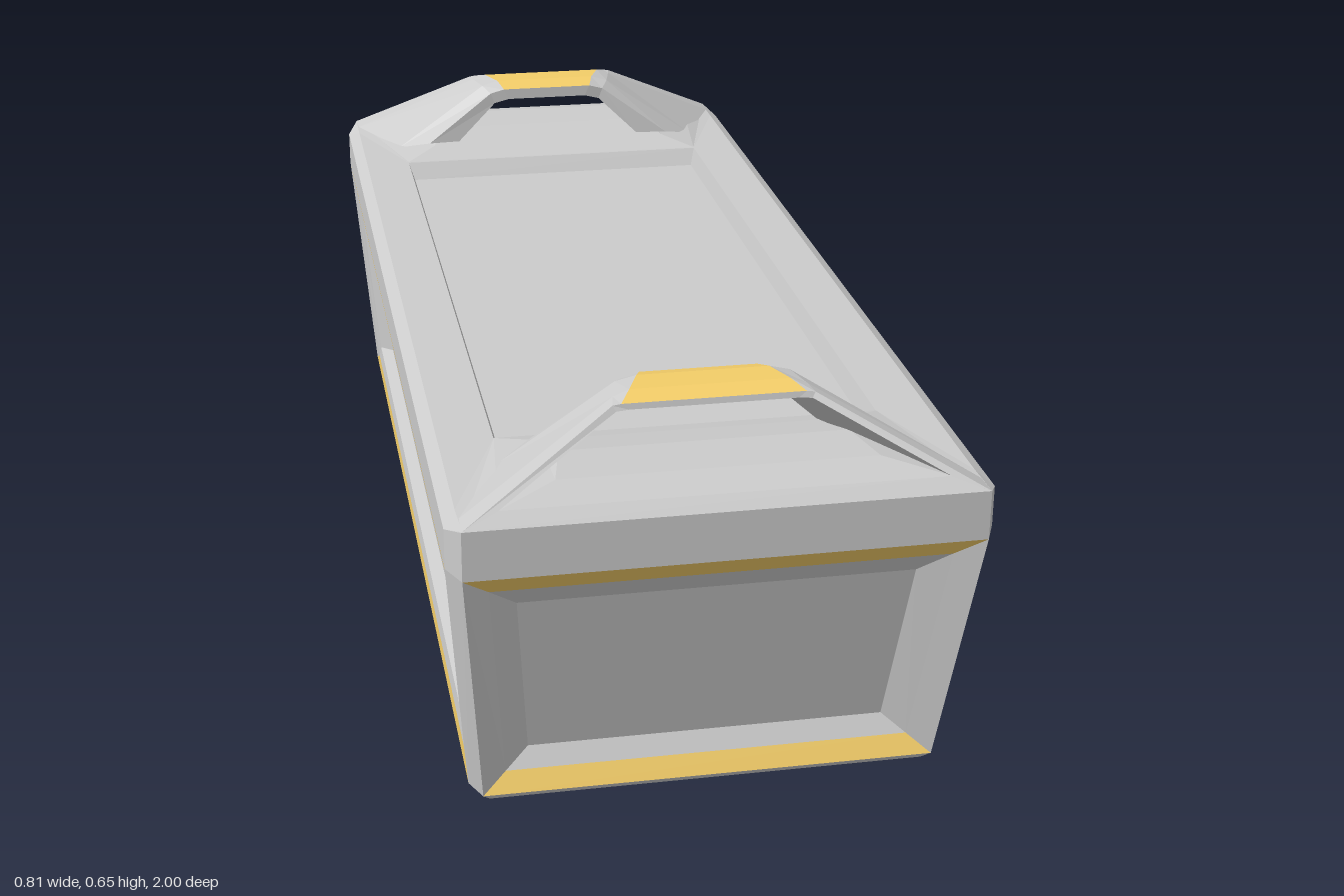
import * as THREE from 'three';

const grey = new THREE.MeshStandardMaterial({ color: 0xcccccc, flatShading: true });
const gold = new THREE.MeshStandardMaterial({ color: 0xf3cd68, flatShading: true });

// Faceted mesh from a list of convex polygons (corners counter-clockwise)
function facets(name, polys, material) {
  const pos = [];
  for (const p of polys)
    for (let i = 1; i < p.length - 1; i++) pos.push(...p[0], ...p[i], ...p[i + 1]);
  const g = new THREE.BufferGeometry();
  g.setAttribute('position', new THREE.Float32BufferAttribute(pos, 3));
  g.computeVertexNormals();
  const mesh = new THREE.Mesh(g, material);
  mesh.name = name;
  return mesh;
}

// Quads joining two closed rings
const band = (a, b) => a.map((p, i) => {
  const k = (i + 1) % a.length;
  return [p, a[k], b[k], b[i]];
});

// Eight-sided ring: end edges at (endX, endZ), side edges at (sideX, sideZ)
const ring = (a, b, c, d, yEnd, ySide = yEnd) => [
  [c, ySide, d], [c, ySide, -d], [a, yEnd, -b], [-a, yEnd, -b],
  [-c, ySide, -d], [-c, ySide, d], [-a, yEnd, b], [a, yEnd, b],
];

// Leaning wall with a stepped recess; the first step is gold above and below.
// rings: [half width top, y top, half width bottom, y bottom, depth]
function wallPanel(name, zBottom, zTop, rings, turn) {
  const at = (u, y, d) => [u, y, zBottom + (zTop - zBottom) * (y - 0.015) / 0.422 - d];
  const loops = rings.map(([t, yt, b, yb, d]) =>
    [at(-b, yb, d), at(b, yb, d), at(t, yt, d), at(-t, yt, d)]);
  const plain = [], trim = [];
  for (let i = 0; i < loops.length - 1; i++)
    band(loops[i], loops[i + 1]).forEach((q, j) =>
      (i === 0 && j % 2 === 0 ? trim : plain).push(q));
  plain.push(loops[loops.length - 1]);
  const g = new THREE.Group();
  g.name = name;
  g.add(facets('recessedPanel', plain, grey), facets('trimStripes', trim, gold));
  g.rotation.y = turn;
  return g;
}

// Raised sill and arched carrying handle at one end
function endHandle(name, turn) {
  const g = new THREE.Group();
  g.name = name;
  const base = [[0.384, 0.515, 0.999], [0.3, 0.514, 0.692], [-0.3, 0.514, 0.692], [-0.384, 0.515, 0.999]];
  const edge = [[0.33, 0.534, 0.979], [0.24, 0.53, 0.745], [-0.24, 0.53, 0.745], [-0.33, 0.534, 0.979]];
  const crest = [[0.24, 0.547, 0.92], [0.22, 0.545, 0.82], [-0.22, 0.545, 0.82], [-0.24, 0.547, 0.92]];
  g.add(facets('raisedSill', [...band(base, edge), ...band(edge, crest), crest], grey));

  // Cross-sections: front, crown front, crown back, back, inner back, inner front
  const half = [
    [[0.385, 0.515, 1], [0.383, 0.515, 0.955], [0.31, 0.516, 0.79], [0.25, 0.535, 0.745], [0.188, 0.535, 0.75], [0.33, 0.534, 0.98]],
    [[0.15, 0.637, 0.878], [0.145, 0.639, 0.85], [0.132, 0.639, 0.795], [0.118, 0.63, 0.766], [0.11, 0.609, 0.766], [0.145, 0.629, 0.882]],
    [[0.137, 0.639, 0.878], [0.12, 0.648, 0.848], [0.1, 0.648, 0.798], [0.09, 0.638, 0.764], [0.08, 0.617, 0.764], [0.125, 0.63, 0.88]],
  ];
  const mirrored = half.map(s => s.map(([x, y, z]) => [-x, y, z])).reverse();
  const sections = [...half, ...mirrored];
  const arch = [], grip = [];
  for (let i = 0; i < sections.length - 1; i++)
    band(sections[i], sections[i + 1]).forEach((q, j) =>
      (i === 2 && j < 3 ? grip : arch).push(q));
  g.add(facets('handleArch', arch, grey), facets('handleGrip', grip, gold));
  g.rotation.y = turn;
  return g;
}

export function createModel() {
  const model = new THREE.Group();
  model.name = 'storageCase';

  // Shell rings, from the underside up to the lid recess
  const foot = ring(0.34, 0.885, 0.352, 0.85, 0);
  const low = ring(0.352, 0.9, 0.37, 0.86, 0.015);
  const mid = ring(0.385, 1, 0.405, 0.955, 0.437);
  const rim = ring(0.385, 1, 0.405, 0.955, 0.515, 0.5);
  const deck = ring(0.383, 0.998, 0.385, 0.92, 0.515, 0.512);
  const lip = ring(0.3, 0.69, 0.3, 0.69, 0.513);
  const floor = ring(0.29, 0.67, 0.29, 0.67, 0.482);

  model.add(facets('base', [...band(foot, low), [...foot].reverse()], grey));
  model.add(facets('cornerPosts', band(low, mid).filter((q, i) => i % 2 === 1), grey));
  model.add(facets('lidRim', [...band(mid, rim), ...band(rim, deck)], grey));
  model.add(facets('lid', [...band(deck, lip), ...band(lip, floor), floor], grey));

  // End walls slope straight in; side walls stay nearly flush until the inner step
  const endRings = [
    [0.385, 0.437, 0.352, 0.015, 0],
    [0.344, 0.4, 0.315, 0.045, 0.025],
    [0.3, 0.36, 0.278, 0.075, 0.05],
  ];
  const sideRings = [
    [0.955, 0.437, 0.86, 0.015, 0],
    [0.89, 0.4, 0.8, 0.042, 0.003],
    [0.85, 0.377, 0.78, 0.07, 0.008],
    [0.775, 0.36, 0.71, 0.09, 0.03],
  ];
  [0, 1].forEach(k => {
    const turn = k * Math.PI;
    model.add(wallPanel(k ? 'backWall' : 'frontWall', 0.9, 1, endRings, turn));
    model.add(wallPanel(k ? 'rightWall' : 'leftWall', 0.37, 0.405, sideRings, turn + Math.PI / 2));
    model.add(endHandle(k ? 'backHandle' : 'frontHandle', turn));
  });
  return model;
}
